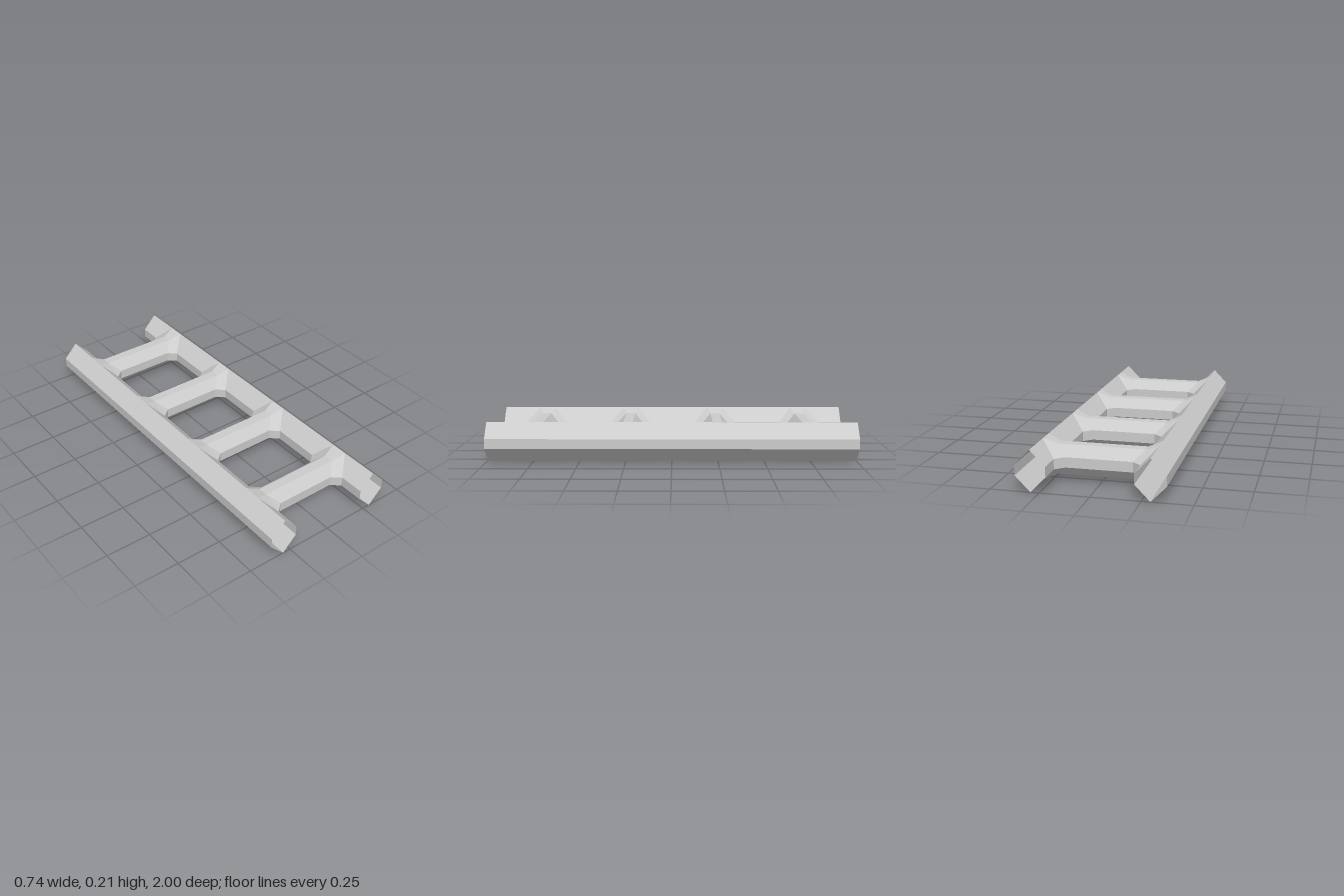
import * as THREE from 'three';

const MID = 0.1065;   // height of the ladder's centre line
const RAIL_X = 0.294; // centre line of each rail
const R = 0.0775;     // half width of rail and rung
const F = 0.0265;     // half width of the narrow flats

const material = new THREE.MeshStandardMaterial({
  color: 0xcccccc, flatShading: true, side: THREE.DoubleSide,
});

// Open skin through equal-sized rings; flip(strip, i) picks the other diagonal of a quad.
function loft(rings, flip = () => false) {
  const n = rings[0].length;
  const index = [];
  for (let s = 0; s < rings.length - 1; s++) {
    for (let i = 0; i < n; i++) {
      const j = (i + 1) % n;
      const p = s * n, q = p + n;
      if (flip(s, i)) index.push(p + i, q + i, p + j, q + i, q + j, p + j);
      else index.push(p + i, q + i, q + j, p + i, q + j, p + j);
    }
  }
  const geometry = new THREE.BufferGeometry();
  geometry.setAttribute('position', new THREE.Float32BufferAttribute(rings.flat(2), 3));
  geometry.setIndex(index);
  geometry.computeVertexNormals();
  return geometry;
}

// Hollow six-sided rail with ridges at top and bottom
function railGeometry() {
  const profile = [[0, MID], [R, F], [R, -F], [0, -MID], [-R, -F], [-R, F]];
  return loft([-1, 1].map((z) => profile.map(([x, y]) => [x, y, z])));
}

// Eight-sided rung ring: the side corners and the top/bottom corners may lie at different x
function rungRing(dir, side, cap) {
  const s = ([x, y, z], sy, sz) => [dir * x, sy * y, sz * z];
  return [
    s(side, 1, 1), s(cap, 1, 1), s(cap, 1, -1), s(side, 1, -1),
    s(side, -1, -1), s(cap, -1, -1), s(cap, -1, 1), s(side, -1, 1),
  ];
}

// Rung whose ends flare out to meet the rails' flats and ridges
function rungGeometry() {
  const inner = [[0.17, F, R], [0.224, R + 0.001, F]];
  const outer = [[RAIL_X - R, F, 0.118], [RAIL_X, MID, 0.045]];
  const rings = [
    rungRing(-1, ...outer), rungRing(-1, ...inner),
    rungRing(1, ...inner), rungRing(1, ...outer),
  ];
  // fold each flare corner from the rung's cap to the rail's flat
  return loft(rings, (strip, i) => (strip === 0 ? i % 4 === 2 : i % 4 === 0));
}

export function createModel() {
  const ladder = new THREE.Group();
  ladder.name = 'ladder';

  const rail = railGeometry();
  for (const [name, side] of [['leftRail', 1], ['rightRail', -1]]) {
    const mesh = new THREE.Mesh(rail, material);
    mesh.name = name;
    mesh.position.set(side * RAIL_X, MID, 0);
    ladder.add(mesh);
  }

  const rung = rungGeometry();
  for (let i = 0; i < 4; i++) {
    const mesh = new THREE.Mesh(rung, material);
    mesh.name = `rung${i + 1}`;
    mesh.position.set(0, MID, -0.753 + 0.5 * i);
    ladder.add(mesh);
  }
  return ladder;
}
